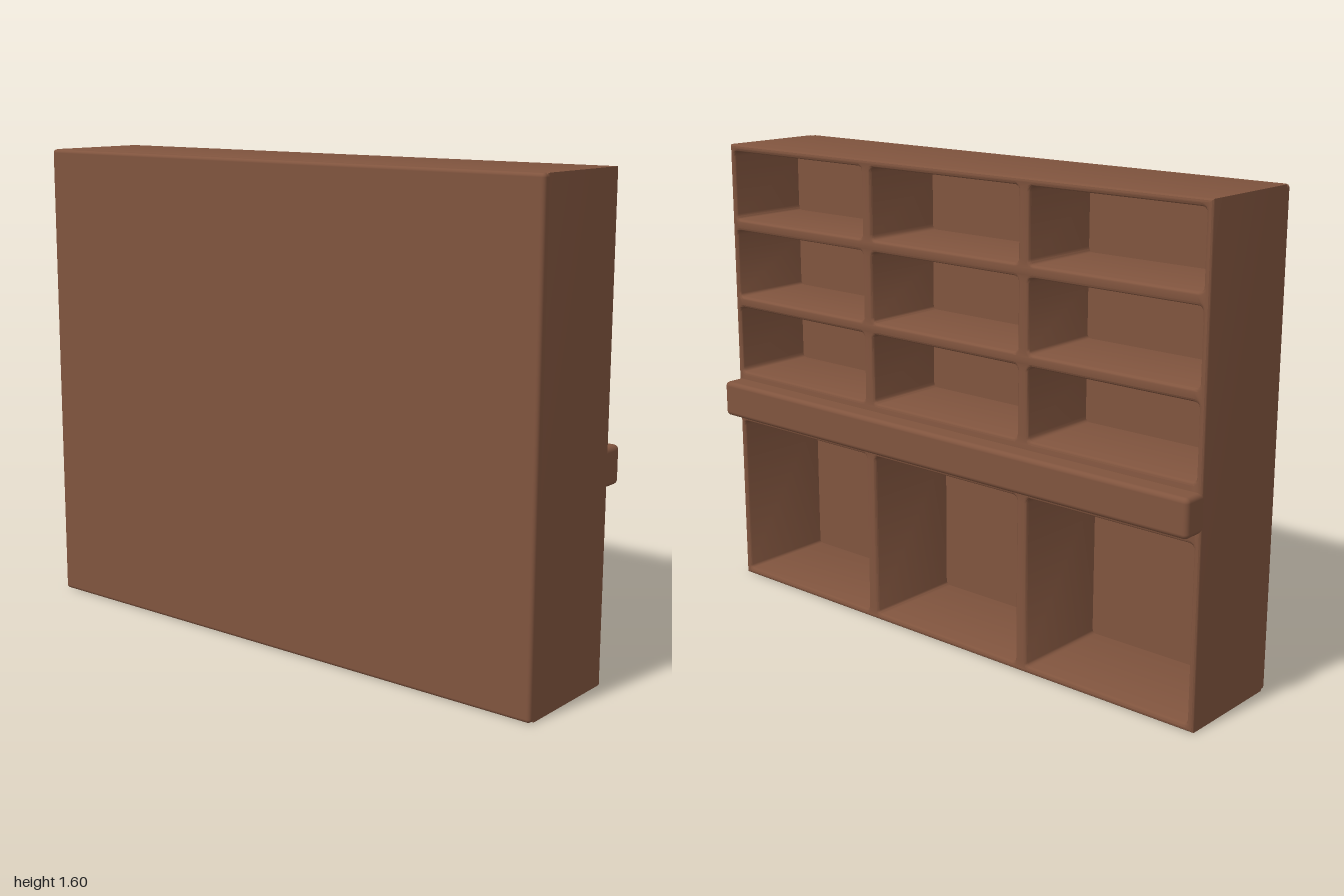
import * as THREE from 'three';
import { RoundedBoxGeometry } from 'three/addons/geometries/RoundedBoxGeometry.js';
import { toCreasedNormals } from 'three/addons/utils/BufferGeometryUtils.js';

const BEVEL = 0.01;

// Rectangle outline with slightly rounded corners, used for each opening
function roundedRect(path, x0, y0, x1, y1, r) {
  path.moveTo(x0 + r, y0);
  path.lineTo(x1 - r, y0);
  path.quadraticCurveTo(x1, y0, x1, y0 + r);
  path.lineTo(x1, y1 - r);
  path.quadraticCurveTo(x1, y1, x1 - r, y1);
  path.lineTo(x0 + r, y1);
  path.quadraticCurveTo(x0, y1, x0, y1 - r);
  path.lineTo(x0, y0 + r);
  path.quadraticCurveTo(x0, y0, x0 + r, y0);
  return path;
}

export function createModel() {
  const group = new THREE.Group();
  group.name = 'shelfCabinet';
  const wood = new THREE.MeshStandardMaterial({ color: 0x80543e });
  wood.name = 'brown wood';

  const add = (name, geometry, x, y, z) => {
    const mesh = new THREE.Mesh(geometry, wood);
    mesh.name = name;
    mesh.position.set(x, y, z);
    group.add(mesh);
  };

  // Compartment grid: three columns of one tall opening below and three small ones above
  const outline = new THREE.Shape();
  outline.moveTo(-1, 0);
  outline.lineTo(1, 0);
  outline.lineTo(1, 1.6);
  outline.lineTo(-1, 1.6);
  const rows = [[0.022, 0.595]];
  for (let i = 0; i < 3; i++) rows.push([0.782 + i * 0.278, 1.02 + i * 0.278]);
  for (const cx of [-2 / 3, 0, 2 / 3]) {
    for (const [y0, y1] of rows) {
      outline.holes.push(roundedRect(new THREE.Path(), cx - 0.312, y0, cx + 0.312, y1, 0.018));
    }
  }
  const grid = new THREE.ExtrudeGeometry(outline, {
    depth: 0.375, bevelEnabled: true, bevelThickness: BEVEL, bevelSize: BEVEL,
    bevelOffset: -BEVEL, bevelSegments: 3, curveSegments: 4,
  });
  add('compartmentGrid', toCreasedNormals(grid, 0.7), 0, 0, -0.16);

  // Closed panel on the front, and the thicker lining behind the small openings
  add('closedPanel', new RoundedBoxGeometry(2, 1.6, 0.05, 3, 0.012), 0, 0.8, 0.215);
  add('upperLining', new THREE.BoxGeometry(1.97, 0.82, 0.08), 0, 1.18, 0.17);

  // Counter ledge across the open side
  add('counterLedge', new RoundedBoxGeometry(2, 0.125, 0.15, 3, 0.016), 0, 0.6925, -0.165);

  return group;
}
